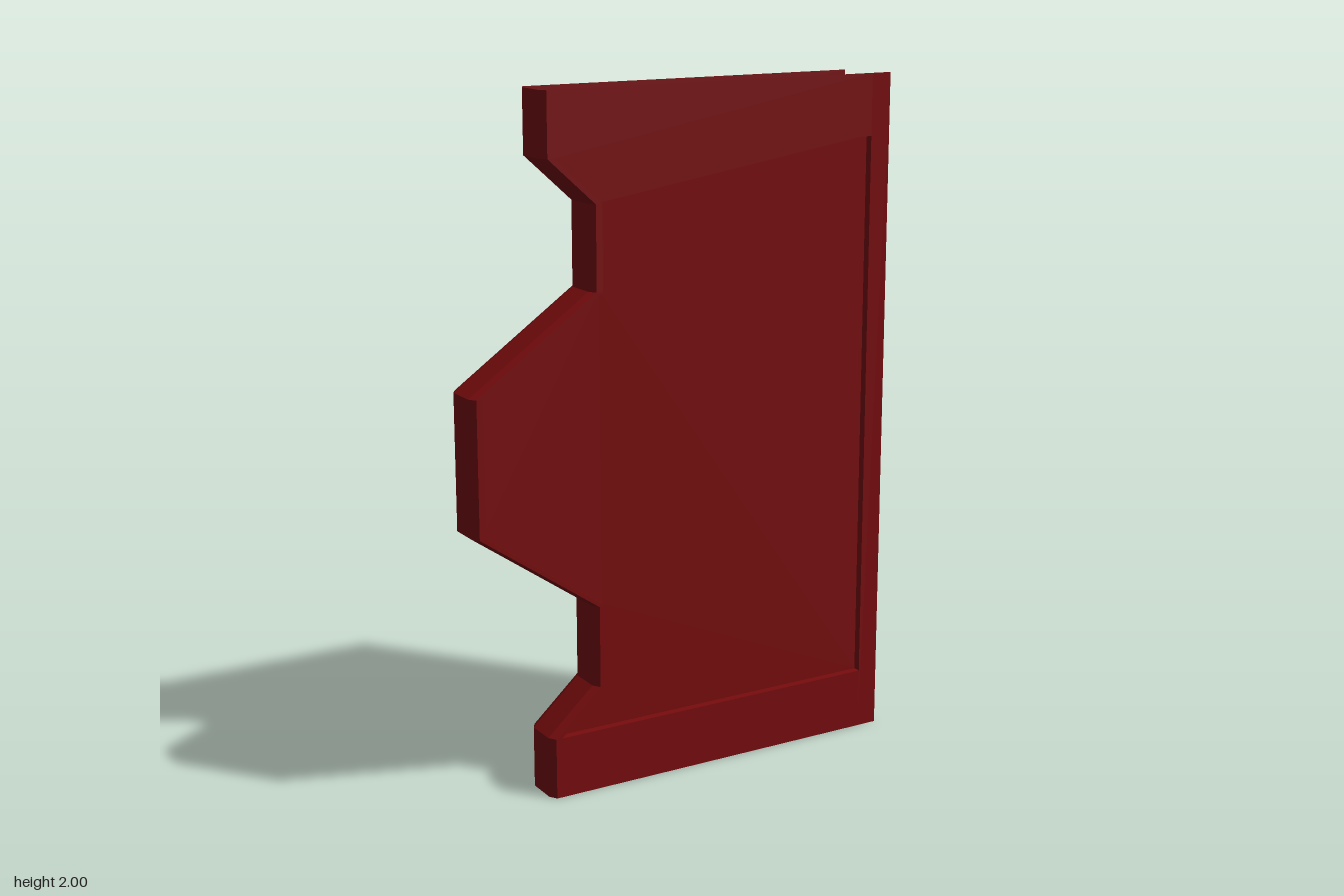
import * as THREE from 'three';

const material = new THREE.MeshStandardMaterial({ color: 0x780c0e, flatShading: true, side: THREE.DoubleSide });

// Half depths: outer skin and recessed panel; panel limits; free edges of the two skins
const OUTER = 0.068, INNER = 0.045;
const LOW = 0.18, HIGH = 1.82, PANEL_X = 0.612, EDGE_X = 0.675;

// Notched edge from bottom to top, between the two flanges
const notch = [
  [-0.452, LOW], [-0.308, 0.31], [-0.308, 0.55], [-0.675, 0.805],
  [-0.675, 1.195], [-0.308, 1.45], [-0.308, 1.69], [-0.452, HIGH],
];
const fullEdge = [[-0.452, 0], ...notch, [-0.452, 2]];
const shift = (points, dx) => points.map(([x, y]) => [x + dx, y]);

function flat(name, points, z) {
  const shape = new THREE.Shape(points.map(([x, y]) => new THREE.Vector2(x, y)));
  const mesh = new THREE.Mesh(new THREE.ShapeGeometry(shape).translate(0, 0, z), material);
  mesh.name = name;
  return mesh;
}

// Ribbon of quads joining two outlines that lie at depths za and zb
function ribbon(name, a, za, b, zb) {
  const pos = [];
  for (let i = 0; i < a.length - 1; i++) {
    const p = [...a[i], za], q = [...b[i], zb], r = [...b[i + 1], zb], s = [...a[i + 1], za];
    pos.push(...p, ...q, ...r, ...p, ...r, ...s);
  }
  const geometry = new THREE.BufferGeometry();
  geometry.setAttribute('position', new THREE.Float32BufferAttribute(pos, 3));
  geometry.computeVertexNormals();
  const mesh = new THREE.Mesh(geometry, material);
  mesh.name = name;
  return mesh;
}

// One skin: flanges, rim, bevelled edge and the panel pressed inward
function skin(name) {
  const group = new THREE.Group();
  group.name = name;
  const rimEdge = shift(fullEdge, 0.014);
  const panelEdge = shift(notch, 0.034);
  const panel = [...panelEdge, [PANEL_X, HIGH], [PANEL_X, LOW]];
  const loop = [...panel, panel[0]];
  const frame = [
    ...rimEdge, [PANEL_X, 2], [PANEL_X, HIGH],
    ...[...panelEdge].reverse(), [PANEL_X, LOW], [PANEL_X, 0],
  ];
  group.add(
    flat('flangesAndRim', frame, OUTER),
    flat('recessedPanel', panel, INNER),
    ribbon('recessStep', loop, OUTER, loop, INNER),
    ribbon('edgeBevel', fullEdge, INNER, rimEdge, OUTER),
  );
  return group;
}

export function createModel() {
  const model = new THREE.Group();
  model.name = 'notchedPanel';

  const front = skin('frontSkin');
  // Only the front skin carries a border past the panel
  front.add(flat('sideBorder', [[PANEL_X, 0], [EDGE_X, 0], [EDGE_X, 2], [PANEL_X, 2]], OUTER));

  const back = skin('backSkin');
  back.scale.z = -1;

  // Wall joining both skins along the notched edge; the other sides stay open
  model.add(front, back, ribbon('notchedWall', fullEdge, -INNER, fullEdge, INNER));
  return model;
}
